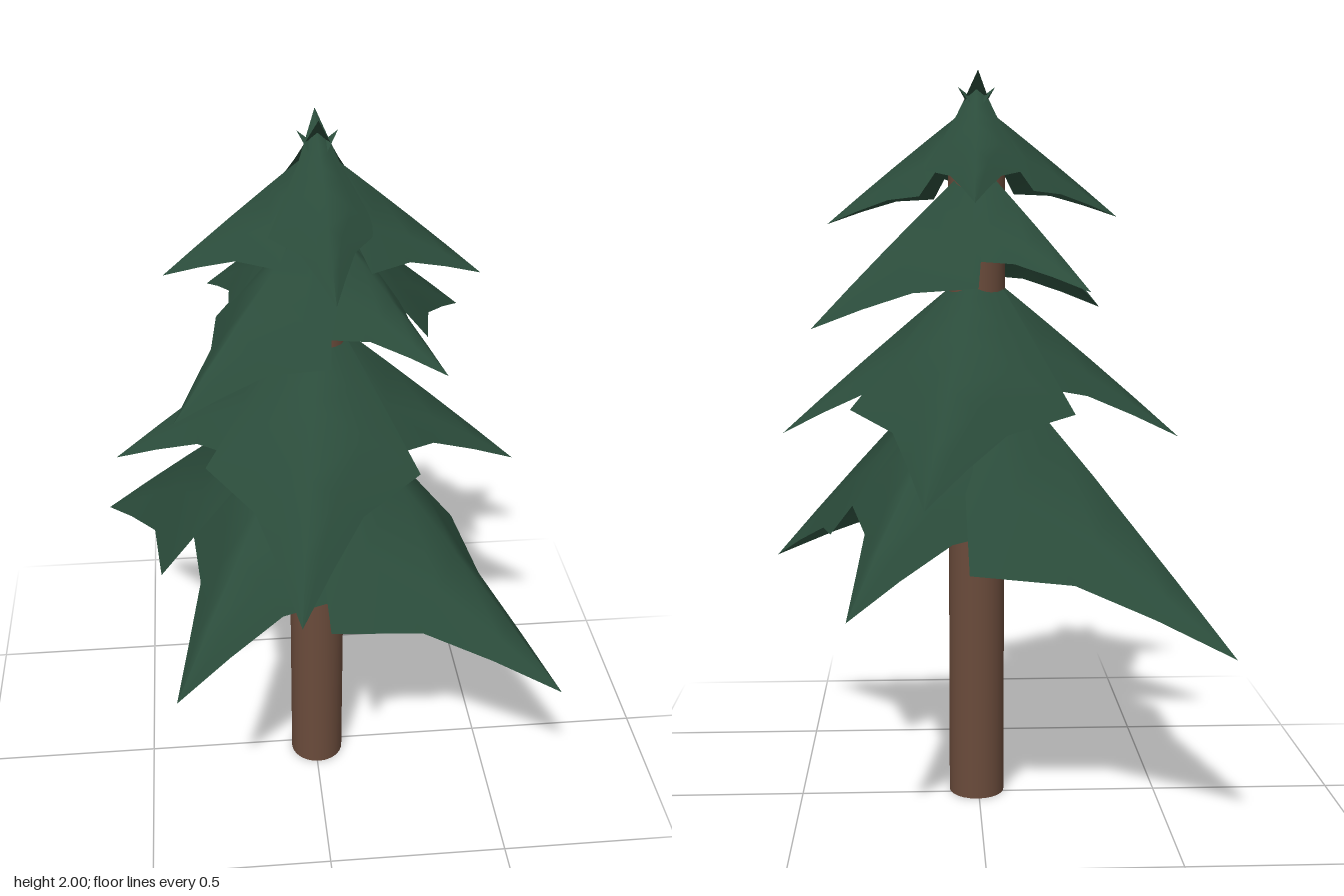
import * as THREE from 'three';

const needleGreen = new THREE.MeshStandardMaterial({ color: 0x2b4c3b, side: THREE.DoubleSide });
needleGreen.name = 'needle green';
const barkBrown = new THREE.MeshStandardMaterial({ color: 0x6a4b3b });
barkBrown.name = 'bark brown';

// Trunk axis; every bough springs from it
const AXIS = { x: 0.005, z: 0.022 };

// Bough outline stations: [distance out, half width, edge droop], as shares of the bough length;
// the first station lies just behind the trunk axis.
const STATIONS = [
  [null, 0, 0], [0.07, 0.16, 0.4], [0.2, 0.29, 0.7], [0.33, 0.42, 1],
  [0.56, 0.205, 0.56], [0.78, 0.1, 0.27], [1, 0, 0],
];
const ACROSS = 4;
const BACK = 0.05;

// A folded, pointed sheet running from the trunk axis out to its tip
function makeBough([tipX, tipY, tipZ], topY, droop) {
  const dx = tipX - AXIS.x, dz = tipZ - AXIS.z;
  const length = Math.hypot(dx, dz);
  const geometry = new THREE.PlaneGeometry(2, 1, ACROSS, STATIONS.length - 1);
  const position = geometry.attributes.position;
  for (let i = 0; i < position.count; i++) {
    const v = position.getX(i);
    const [out, halfWidth, sag] = STATIONS[Math.floor(i / (ACROSS + 1))];
    const along = out === null ? -BACK : out * length;
    const t = (along + BACK) / (length + BACK);
    const ridge = topY + (tipY - topY) * t + 0.06 * length * t * (1 - t);
    const edgeDrop = sag * droop * length * Math.pow(Math.abs(v), 1.15);
    position.setXYZ(i, v * halfWidth * length, ridge - edgeDrop, along);
  }
  geometry.computeVertexNormals();
  const bough = new THREE.Mesh(geometry, needleGreen);
  bough.position.set(AXIS.x, 0, AXIS.z);
  bough.rotation.y = Math.atan2(dx, dz);
  return bough;
}

// Tiers from bottom to top: tip positions of the four boughs, and the root heights of alternate boughs
const TIERS = [
  { name: 'bottomTier', tops: [1.34, 1.34], droop: 0.39,
    tips: [[0.61, 0.58, 0.5], [-0.4, 0.65, 0.53], [-0.61, 0.55, -0.54], [0.34, 0.65, -0.53]] },
  { name: 'lowerTier', tops: [1.53, 1.53], droop: 0.29,
    tips: [[-0.09, 0.98, 0.67], [-0.54, 1.03, -0.06], [0.15, 0.95, -0.67], [0.54, 1.03, 0.04]] },
  { name: 'upperTier', tops: [1.81, 1.81], droop: 0.37,
    tips: [[0.3, 1.43, 0.29], [-0.37, 1.36, 0.34], [-0.27, 1.43, -0.3], [0.43, 1.34, -0.3]] },
  { name: 'topTier', tops: [2.0, 1.96], droop: 0.37,
    tips: [[0.02, 1.65, 0.34], [-0.38, 1.62, 0.06], [0.02, 1.65, -0.3], [0.41, 1.6, 0.07]] },
];

export function createModel() {
  const tree = new THREE.Group();
  tree.name = 'pineTree';

  // Trunk
  const height = 1.83;
  const trunk = new THREE.Mesh(new THREE.CylinderGeometry(0.077, 0.077, height, 24), barkBrown);
  trunk.name = 'trunk';
  trunk.position.set(AXIS.x, height / 2, AXIS.z);
  tree.add(trunk);

  // Boughs
  for (const { name, tops, droop, tips } of TIERS) {
    const tier = new THREE.Group();
    tier.name = name;
    tips.forEach((tip, i) => {
      const bough = makeBough(tip, tops[i % 2], droop);
      bough.name = 'bough' + (i + 1);
      tier.add(bough);
    });
    tree.add(tier);
  }
  return tree;
}
